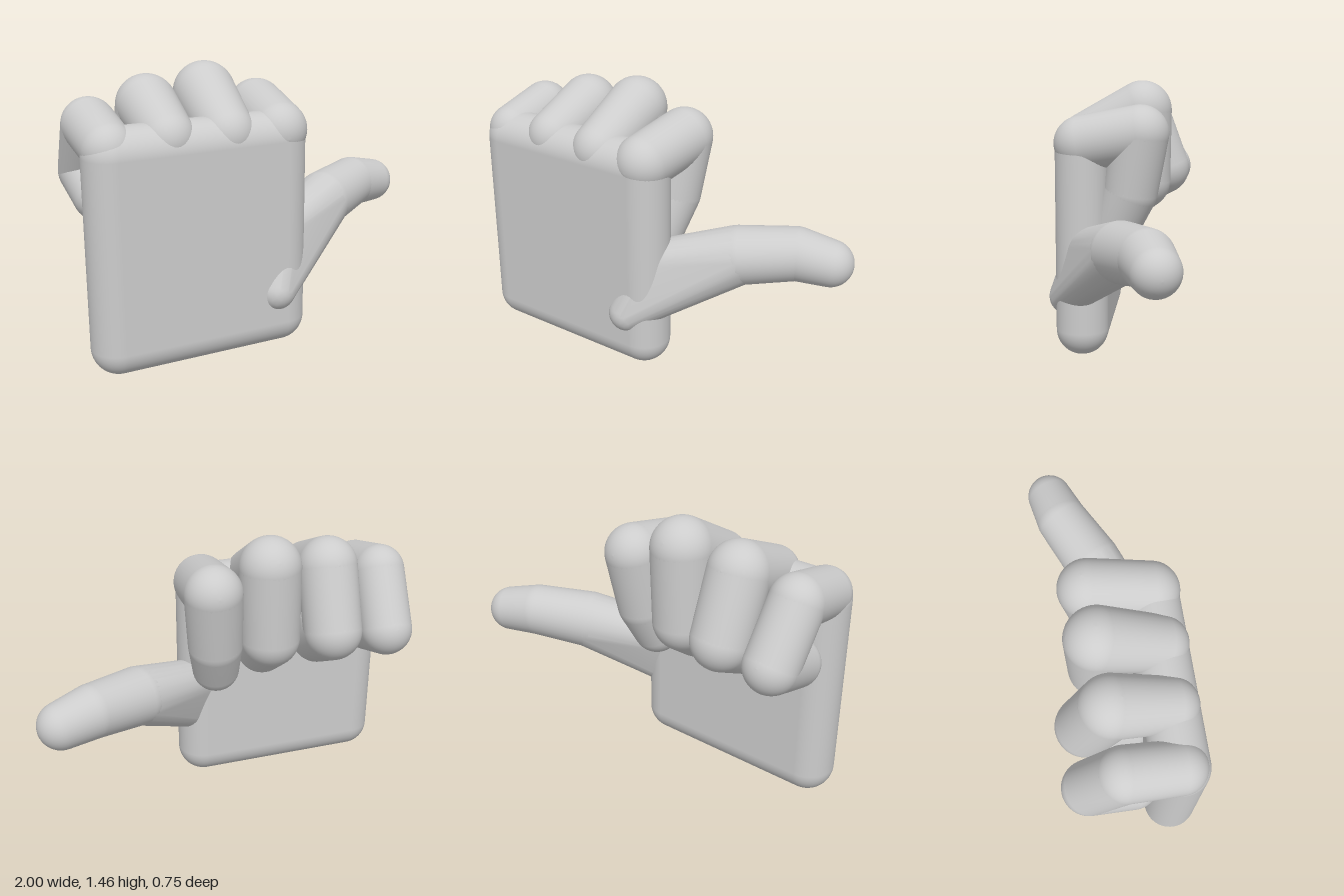
import * as THREE from 'three';
import { toCreasedNormals } from 'three/addons/utils/BufferGeometryUtils.js';
import { RoundedBoxGeometry } from 'three/addons/geometries/RoundedBoxGeometry.js';
import { ConvexGeometry } from 'three/addons/geometries/ConvexGeometry.js';

// Tapered capsule joining two spheres, each given as [x, y, z, radius]
function taperedCapsule(a, b) {
  const start = new THREE.Vector3(...a.slice(0, 3));
  const axis = new THREE.Vector3(...b.slice(0, 3)).sub(start);
  const length = axis.length();
  const tilt = Math.asin((a[3] - b[3]) / length);
  const profile = [];
  const arc = (r, y, from, to) => {
    for (let i = 0; i <= 12; i++) {
      const t = from + (to - from) * i / 12;
      profile.push(new THREE.Vector2(Math.max(0, r * Math.cos(t)), y + r * Math.sin(t)));
    }
  };
  arc(a[3], 0, -Math.PI / 2, tilt);
  arc(b[3], length, tilt, Math.PI / 2);
  const geometry = new THREE.LatheGeometry(profile, 40);
  geometry.applyQuaternion(new THREE.Quaternion().setFromUnitVectors(
    new THREE.Vector3(0, 1, 0), axis.normalize()));
  return geometry.translate(start.x, start.y, start.z);
}

// Smooth skin stretched around several spheres
function sphereHull(spheres) {
  const points = [];
  for (const [x, y, z, r] of spheres) {
    const p = new THREE.SphereGeometry(r, 28, 18).translate(x, y, z).attributes.position;
    for (let i = 0; i < p.count; i++) points.push(new THREE.Vector3().fromBufferAttribute(p, i));
  }
  return toCreasedNormals(new ConvexGeometry(points), 0.7);
}

export function createModel() {
  const skin = new THREE.MeshStandardMaterial({ color: 0xcccccc });
  skin.name = 'light grey';
  const hand = new THREE.Group();
  hand.name = 'hand';
  const add = (parent, name, geometry) => {
    const mesh = new THREE.Mesh(geometry, skin);
    mesh.name = name;
    parent.add(mesh);
    return mesh;
  };

  // Palm slab with fully rounded rim
  add(hand, 'palm', new RoundedBoxGeometry(1.155, 1.24, 0.28, 8, 0.139))
    .position.set(-0.4125, 0.62, 0.19);

  // Curled fingers: base, knuckle, middle joint and tip as [x, y, z, radius]
  const fingers = {
    indexFinger: [[0.03, 1.14, 0.19, 0.145], [0.06, 1.195, -0.12, 0.15], [0.035, 0.89, -0.07, 0.142], [0.01, 0.72, 0.0, 0.125]],
    middleFinger: [[-0.255, 1.15, 0.19, 0.14], [-0.24, 1.3, -0.115, 0.16], [-0.25, 0.91, -0.115, 0.155], [-0.25, 0.8, 0.0, 0.135]],
    ringFinger: [[-0.565, 1.16, 0.19, 0.135], [-0.56, 1.265, -0.1, 0.155], [-0.555, 0.95, -0.22, 0.152], [-0.555, 0.83, -0.03, 0.135]],
    littleFinger: [[-0.86, 1.14, 0.185, 0.13], [-0.865, 1.2, -0.08, 0.135], [-0.85, 0.93, -0.245, 0.135], [-0.85, 0.85, -0.03, 0.125]],
  };
  const segments = ['baseSegment', 'middleSegment', 'tipSegment'];
  for (const [name, joints] of Object.entries(fingers)) {
    const finger = new THREE.Group();
    finger.name = name;
    segments.forEach((s, i) => add(finger, s, taperedCapsule(joints[i], joints[i + 1])));
    hand.add(finger);
  }

  // Thumb: webbed base, then two tapering segments
  const thumb = new THREE.Group();
  thumb.name = 'thumb';
  const heel = [-0.02, 0.305, 0.275, 0.1];
  const web = [0.08, 0.58, 0.15, 0.12];
  const lowerJoint = [0.45, 0.65, -0.05, 0.155];
  const upperJoint = [0.71, 0.68, -0.185, 0.14];
  const tip = [0.878, 0.655, -0.235, 0.122];
  add(thumb, 'thumbBase', sphereHull([heel, web, lowerJoint]));
  add(thumb, 'thumbMiddle', taperedCapsule(lowerJoint, upperJoint));
  add(thumb, 'thumbTip', taperedCapsule(upperJoint, tip));
  hand.add(thumb);

  return hand;
}
